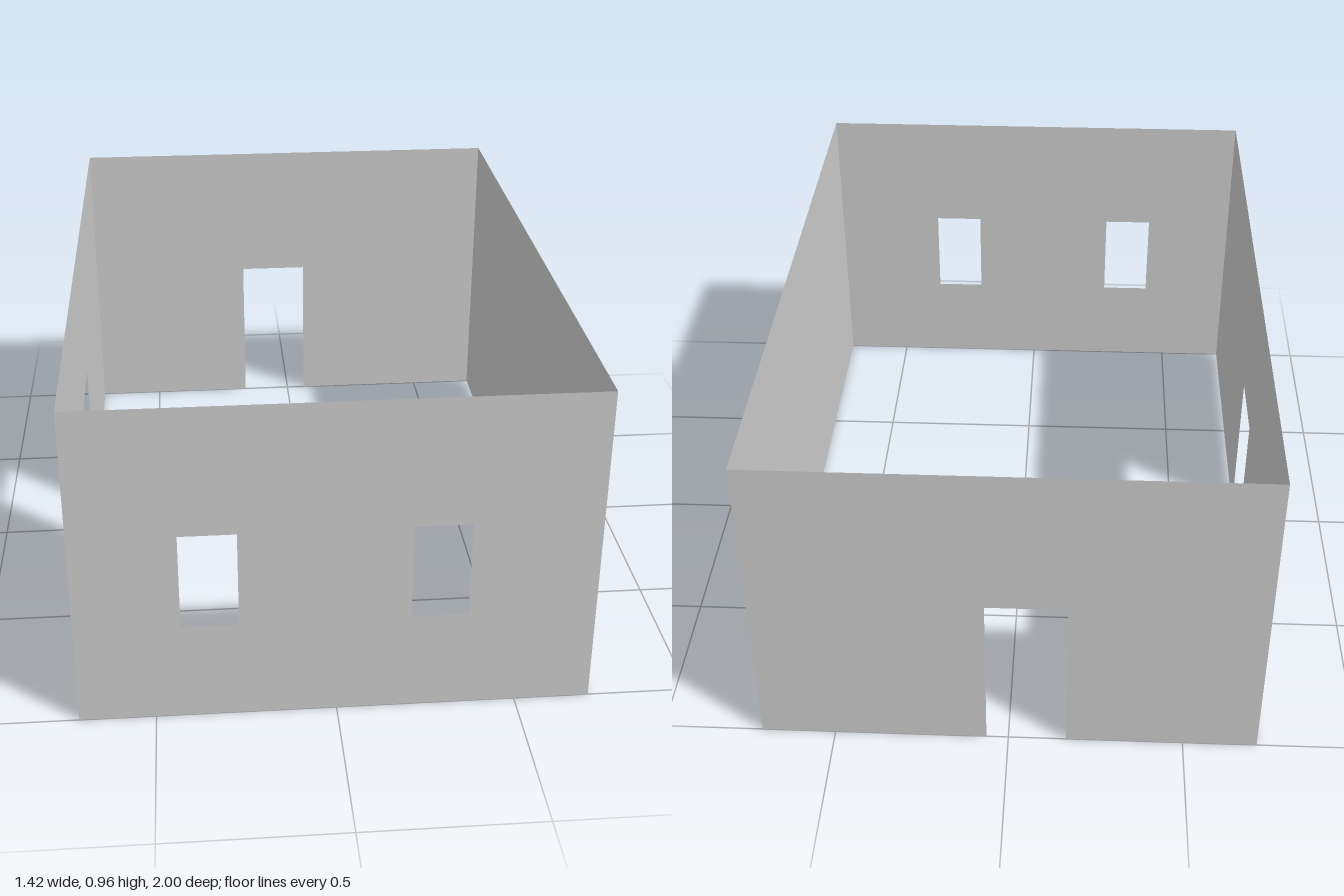
import * as THREE from 'three';

const HALF_X = 0.712, HALF_Z = 1, HEIGHT = 0.957, DOOR_TOP = 0.505;

export function createModel() {
  const group = new THREE.Group();
  group.name = 'house';
  const material = new THREE.MeshStandardMaterial({ color: 0xcccccc, side: THREE.DoubleSide, flatShading: true });

  // A thin upright wall facing outwards, with optional doorway [u0, u1] and windows [u0, u1, y0, y1]
  function addWall(name, half, distance, angle, door, windows = []) {
    const outline = [[-half, 0]];
    if (door) outline.push([door[0], 0], [door[0], DOOR_TOP], [door[1], DOOR_TOP], [door[1], 0]);
    outline.push([half, 0], [half, HEIGHT], [-half, HEIGHT]);
    const shape = new THREE.Shape(outline.map(([u, y]) => new THREE.Vector2(u, y)));
    for (const [u0, u1, y0, y1] of windows) {
      shape.holes.push(new THREE.Path([[u0, y0], [u0, y1], [u1, y1], [u1, y0]]
        .map(([u, y]) => new THREE.Vector2(u, y))));
    }
    const wall = new THREE.Mesh(new THREE.ShapeGeometry(shape), material);
    wall.name = name;
    wall.rotation.y = angle;
    wall.position.set(Math.sin(angle) * distance, 0, Math.cos(angle) * distance);
    group.add(wall);
  }

  // Front wall with two windows
  addWall('frontWall', HALF_X, HALF_Z, 0, null,
    [[-0.423, -0.266, 0.293, 0.578], [0.202, 0.359, 0.293, 0.578]]);
  // Back wall with a doorway
  addWall('backWall', HALF_X, HALF_Z, Math.PI, [-0.063, 0.164]);
  // Plain side wall and the opposite one with a doorway
  addWall('leftWall', HALF_Z, HALF_X, Math.PI / 2);
  addWall('rightWall', HALF_Z, HALF_X, -Math.PI / 2, [-0.16, 0.07]);

  return group;
}
